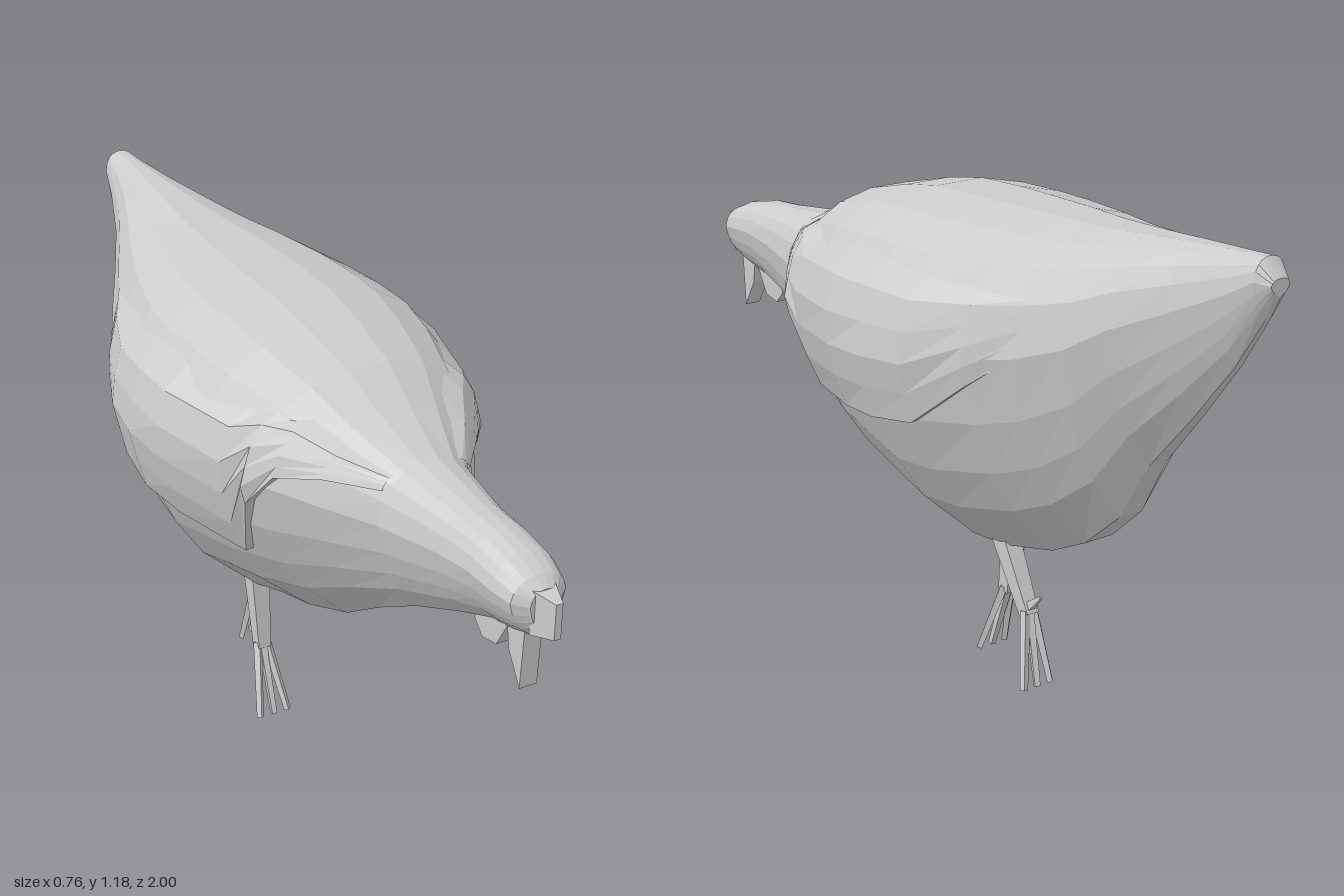
import * as THREE from 'three';

const material = new THREE.MeshStandardMaterial({ color: 0xcccccc, flatShading: true, side: THREE.DoubleSide });

// Body stations from head to tail: z, top y, bottom y, half width
const stations = [
  [0.955, 0.885, 0.79, 0.035], [0.93, 0.905, 0.77, 0.065], [0.88, 0.925, 0.755, 0.077],
  [0.8, 0.94, 0.74, 0.08], [0.7, 0.947, 0.70, 0.085], [0.53, 0.967, 0.625, 0.12],
  [0.4, 1.02, 0.555, 0.2], [0.28, 1.08, 0.48, 0.275], [0.12, 1.12, 0.42, 0.335],
  [0, 1.14, 0.39, 0.36], [-0.13, 1.145, 0.345, 0.365], [-0.24, 1.147, 0.352, 0.35],
  [-0.4, 1.15, 0.39, 0.295], [-0.5, 1.15, 0.44, 0.25], [-0.6, 1.155, 0.53, 0.2],
  [-0.68, 1.16, 0.67, 0.155], [-0.79, 1.168, 0.8, 0.1], [-0.9, 1.174, 0.94, 0.06],
  [-0.97, 1.178, 1.05, 0.042], [-1, 1.14, 1.105, 0.025],
];

// Half cross-section, top to bottom: share of half width, share of height
const profile = [[0.18, 1], [0.5, 0.965], [0.74, 0.9], [0.9, 0.8], [1, 0.645],
  [0.9, 0.45], [0.74, 0.29], [0.55, 0.16], [0.16, 0]];

const lerp = THREE.MathUtils.lerp;

// Piecewise linear lookup in a table whose first column falls
function sample(table, key) {
  for (let i = 0; i < table.length - 1; i++) {
    const a = table[i], b = table[i + 1];
    if (key >= b[0]) {
      const t = THREE.MathUtils.clamp((key - a[0]) / (b[0] - a[0]), 0, 1);
      return a.map((v, k) => lerp(v, b[k], t));
    }
  }
  return table[table.length - 1];
}

// Half width of the body at a given z and y
function bodyX(z, y) {
  const [, top, bottom, half] = sample(stations, z);
  const share = (y - bottom) / (top - bottom);
  return half * sample(profile.map(([x, h]) => [h, x]), share)[1];
}

function mesh(name, geometry) {
  const m = new THREE.Mesh(geometry, material);
  m.name = name;
  return m;
}

// Skin a list of equally long rows of points
function skin(rows) {
  const positions = [], index = [], n = rows[0].length;
  rows.forEach(row => row.forEach(p => positions.push(...p)));
  for (let i = 0; i < rows.length - 1; i++) {
    for (let j = 0; j < n - 1; j++) {
      const a = i * n + j, c = a + n;
      index.push(a, a + 1, c, a + 1, c + 1, c);
    }
  }
  const g = new THREE.BufferGeometry();
  g.setAttribute('position', new THREE.Float32BufferAttribute(positions, 3));
  g.setIndex(index);
  const flat = g.toNonIndexed();
  flat.computeVertexNormals();
  return flat;
}

// Close both ends of a loft by collapsing extra rows to a point
function capped(rows) {
  const centre = row => {
    const ys = row.map(p => p[1]);
    const c = [0, (Math.max(...ys) + Math.min(...ys)) / 2, row[0][2]];
    return row.map(() => c);
  };
  return skin([centre(rows[0]), ...rows, centre(rows[rows.length - 1])]);
}

function bodyGeometry() {
  return capped(stations.map(([z, top, bottom, half]) => {
    const right = profile.map(([x, h]) => [x * half, lerp(bottom, top, h), z]);
    const left = right.map(([x, y]) => [-x, y, z]).reverse();
    return [...right, ...left, right[0]];
  }));
}

// Folded wing: a raised shell that follows the flank
function wingGeometry(side) {
  // z, upper edge y, lower edge y, lift
  const ribs = [[0.52, 0.95, 0.92, 0.005], [0.42, 0.98, 0.92, 0.02], [0.33, 1.02, 0.9, 0.025],
    [0.27, 1.04, 0.82, 0.025], [0.2, 1.05, 0.66, 0.02], [0, 1.06, 0.675, 0.018],
    [-0.13, 1.06, 0.69, 0.018], [-0.26, 1.05, 0.71, 0.02], [-0.4, 1.04, 0.82, 0.012],
    [-0.56, 1.03, 0.95, -0.005]];
  const rows = ribs.map(([z, high, low, lift]) => {
    const row = [];
    for (let j = 0; j <= 5; j++) {
      const y = lerp(high, low, j / 5);
      row.push([side * (bodyX(z, y) + (j ? lift : -0.006)), y, z]);
    }
    // rim tucked into the body
    row.push([side * (bodyX(z, low) - 0.015), low + 0.005, z]);
    return side > 0 ? row : row.reverse();
  });
  return skin(rows);
}

// Tapered strut between two points
function strut(name, from, to, r0, r1, sides = 4) {
  const a = new THREE.Vector3(...from), b = new THREE.Vector3(...to);
  const dir = b.clone().sub(a);
  const g = new THREE.CylinderGeometry(r1, r0, dir.length(), sides);
  g.rotateY(Math.PI / 4);
  const m = mesh(name, g);
  m.position.copy(a).lerp(b, 0.5);
  m.quaternion.setFromUnitVectors(new THREE.Vector3(0, 1, 0), dir.normalize());
  return m;
}

function leg(name, hip, ankle, toe, spur) {
  const group = new THREE.Group();
  group.name = name;
  group.add(strut('shank', hip, ankle, 0.034, 0.023));
  for (const spread of [-0.038, 0, 0.038]) {
    const start = [ankle[0] + spread * 0.3, ankle[1] + 0.012, ankle[2]];
    group.add(strut('toe', start, [toe[0] + spread, toe[1], toe[2]], 0.012, 0.009));
  }
  group.add(strut('spur', [ankle[0], ankle[1] + 0.02, ankle[2]], spur, 0.015, 0.004));
  return group;
}

// Thin plate from a side outline of [z, y] points
function plate(name, outline, thickness) {
  const shape = new THREE.Shape(outline.map(p => new THREE.Vector2(...p)));
  const g = new THREE.ExtrudeGeometry(shape, { depth: thickness, bevelEnabled: false });
  g.translate(0, 0, -thickness / 2).rotateY(-Math.PI / 2);
  return mesh(name, g);
}

export function createModel() {
  const model = new THREE.Group();
  model.name = 'bird';
  model.add(mesh('body', bodyGeometry()));
  model.add(mesh('leftWing', wingGeometry(1)), mesh('rightWing', wingGeometry(-1)));

  // Face: wedge at the brow, beak pointing down, wattle behind it
  const faceRow = (z, half, top, bottom) =>
    [[half, top, z], [half, bottom, z], [-half, bottom, z], [-half, top, z], [half, top, z]];
  model.add(mesh('face', capped([faceRow(1, 0.008, 0.875, 0.795), faceRow(0.945, 0.028, 0.885, 0.785)])));
  model.add(plate('beak', [[0.915, 0.64], [0.922, 0.78], [0.86, 0.78], [0.872, 0.71]], 0.042));
  model.add(plate('wattle', [[0.86, 0.76], [0.82, 0.69], [0.77, 0.68], [0.74, 0.71], [0.76, 0.76]], 0.03));

  // Legs in mid-stride
  model.add(leg('rightLeg', [-0.05, 0.39, -0.15], [-0.05, 0.17, -0.123], [-0.052, 0.006, -0.06], [-0.05, 0.187, -0.19]));
  model.add(leg('leftLeg', [0.045, 0.4, -0.215], [0.045, 0.205, -0.32], [0.052, 0.043, -0.36], [0.045, 0.262, -0.36]));
  return model;
}
